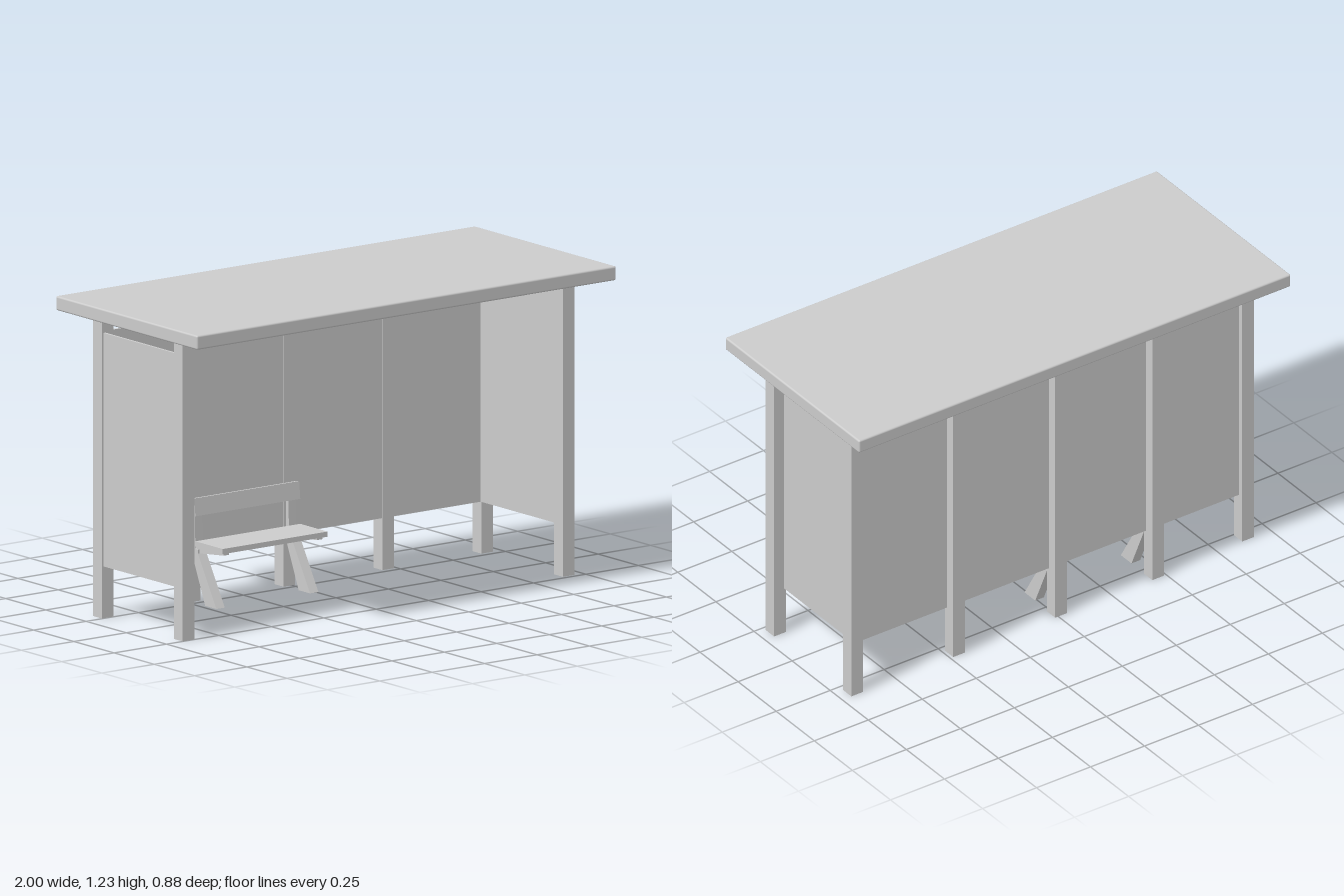
import * as THREE from 'three';
import { RoundedBoxGeometry } from 'three/addons/geometries/RoundedBoxGeometry.js';

const material = new THREE.MeshStandardMaterial({ color: 0xcccccc });
const POST = 0.055;
const POST_TOP = 1.175;
const PANEL_HEIGHT = 0.905;
const PANEL_Y = 0.6535;

function add(parent, name, geometry, x = 0, y = 0, z = 0) {
  const mesh = new THREE.Mesh(geometry, material);
  mesh.name = name;
  mesh.position.set(x, y, z);
  parent.add(mesh);
  return mesh;
}

// Side outline given as [z, y] points, extruded along x and centred
function sideProfile(points, width) {
  const shape = new THREE.Shape(points.map(([z, y]) => new THREE.Vector2(z, y)));
  return new THREE.ExtrudeGeometry(shape, { depth: width, bevelEnabled: false })
    .rotateY(-Math.PI / 2).translate(width / 2, 0, 0);
}

function createBench() {
  const bench = new THREE.Group();
  bench.name = 'bench';
  const centre = -0.235;

  for (const side of [-1, 1]) {
    const x = centre + side * 0.223;
    // slanted leg, seat arm and back upright
    add(bench, 'benchLeg', sideProfile([[-0.12, 0], [-0.19, 0], [-0.275, 0.195], [-0.275, 0.21], [-0.235, 0.21], [-0.235, 0.195]], 0.04), x);
    add(bench, 'seatArm', sideProfile([[-0.265, 0.19], [-0.265, 0.223], [-0.085, 0.223], [-0.085, 0.212], [-0.19, 0.2]], 0.026), x);
    add(bench, 'backUpright', sideProfile([[-0.255, 0.2], [-0.272, 0.2], [-0.272, 0.395], [-0.258, 0.395]], 0.034), x);
  }
  add(bench, 'benchSeat', new THREE.BoxGeometry(0.5, 0.02, 0.17), centre, 0.232, -0.157);
  const back = add(bench, 'benchBackrest', new THREE.BoxGeometry(0.5, 0.068, 0.014), centre, 0.372, -0.252);
  back.rotation.x = -0.1;
  return bench;
}

export function createModel() {
  const model = new THREE.Group();
  model.name = 'busShelter';

  // Flat roof slab with softened edges
  add(model, 'roof', new RoundedBoxGeometry(2, 0.055, 0.88, 3, 0.007), 0, 1.2005, 0);

  // Five back posts and two front posts; the right pair stands slightly forward
  const post = new THREE.BoxGeometry(POST, POST_TOP, POST);
  const backPosts = [[-0.895, -0.2805], [-0.463, -0.3025], [-0.013, -0.3025], [0.459, -0.3025], [0.931, -0.3025]];
  const frontPosts = [[-0.895, 0.2225], [0.931, 0.2045]];
  for (const [x, z] of backPosts) add(model, 'backPost', post, x, POST_TOP / 2, z);
  for (const [x, z] of frontPosts) add(model, 'frontPost', post, x, POST_TOP / 2, z);

  // Back wall, just behind the front faces of the middle posts
  add(model, 'backPanel', new THREE.BoxGeometry(1.81, PANEL_HEIGHT, 0.01), 0.002, PANEL_Y, -0.283);

  // End walls between the corner posts
  const endPanel = new THREE.BoxGeometry(0.01, PANEL_HEIGHT, 0.485);
  add(model, 'rightPanel', endPanel, -0.91, PANEL_Y, -0.035);
  add(model, 'leftPanel', endPanel, 0.908, PANEL_Y, -0.045);

  model.add(createBench());
  return model;
}
